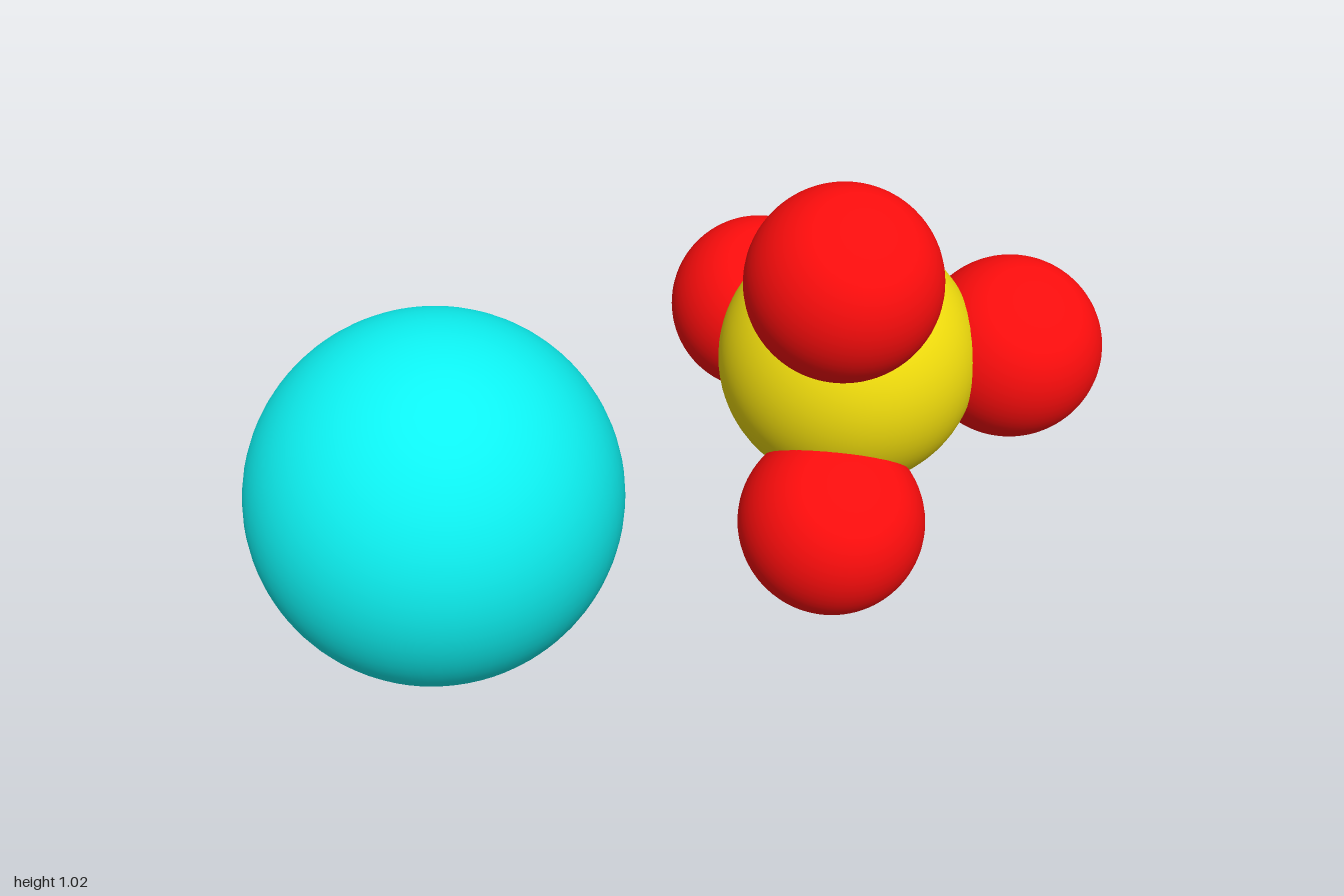
import * as THREE from 'three';

export function createModel() {
  const model = new THREE.Group();
  model.name = 'molecule';

  const paint = {
    cyan: new THREE.MeshStandardMaterial({ color: 0x0df2f2 }),
    yellow: new THREE.MeshStandardMaterial({ color: 0xf2de0d }),
    red: new THREE.MeshStandardMaterial({ color: 0xff0d0d }),
  };

  function atom(name, radius, material, position, parent) {
    const mesh = new THREE.Mesh(new THREE.SphereGeometry(radius, 64, 40), material);
    mesh.name = name;
    mesh.position.set(...position);
    parent.add(mesh);
  }

  // Large separate ion
  atom('largeIon', 0.38, paint.cyan, [-0.62, 0.513, 0.086], model);

  // Tetrahedral cluster: central atom with four outer atoms sunk into it
  const cluster = new THREE.Group();
  cluster.name = 'tetrahedralCluster';
  cluster.position.set(0.443, 0.513, 0.086);
  model.add(cluster);

  atom('centralAtom', 0.297, paint.yellow, [0, 0, 0], cluster);
  const outer = {
    upperOuterAtom: [-0.168, 0.299, 0.17],
    lowerOuterAtom: [-0.168, -0.299, 0.17],
    leftOuterAtom: [0.345, 0, 0.17],
    backOuterAtom: [0, 0, -0.341],
  };
  for (const [name, offset] of Object.entries(outer)) {
    atom(name, 0.212, paint.red, offset, cluster);
  }

  return model;
}
